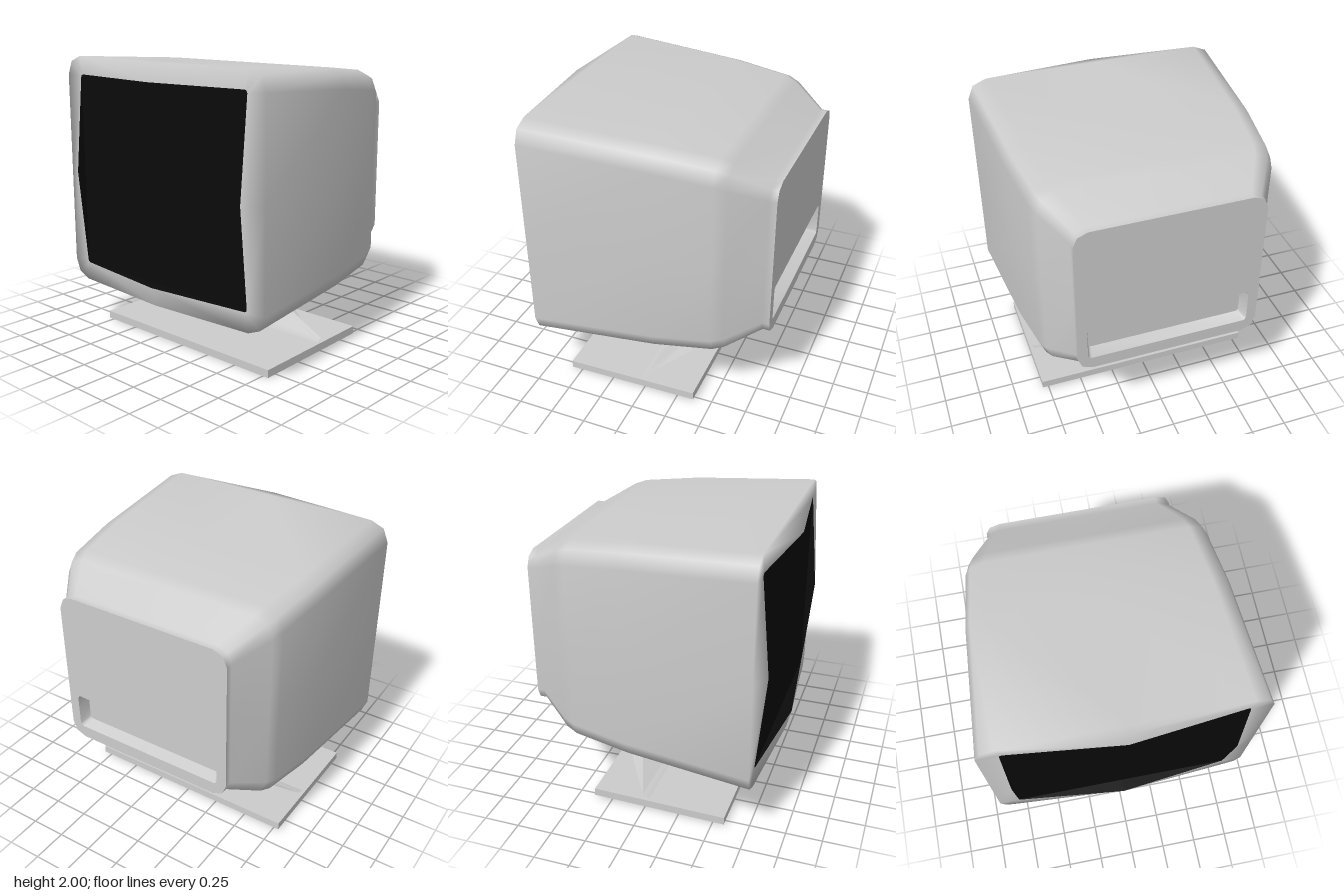
import * as THREE from 'three';
import { mergeVertices, toCreasedNormals } from 'three/addons/utils/BufferGeometryUtils.js';

const casing = new THREE.MeshStandardMaterial({ color: 0xcccccc, side: THREE.DoubleSide });
casing.name = 'light grey plastic';
const glass = new THREE.MeshStandardMaterial({ color: 0x0a0a0a, side: THREE.DoubleSide });
glass.name = 'black glass';

// Rounded rectangle loop at depth z, with side midpoints that may bow forward
function ring(z, hw, y0, y1, r, bowTop = z, bowSide = z) {
  const pts = [], mid = (y0 + y1) / 2;
  const mids = [[hw, mid, bowSide], [0, y1, bowTop], [-hw, mid, bowSide], [0, y0, bowTop]];
  for (let q = 0; q < 4; q++) {
    pts.push(mids[q]);
    const cx = (q === 0 || q === 3 ? 1 : -1) * (hw - r);
    const cy = q < 2 ? y1 - r : y0 + r;
    for (let k = 0; k < 3; k++) {
      const a = (q + k / 2) * Math.PI / 2;
      pts.push([cx + r * Math.cos(a), cy + r * Math.sin(a), z]);
    }
  }
  return pts;
}

// Skin a list of equal-length loops
function loft(loops, caps = false) {
  const n = loops[0].length, index = [];
  for (let s = 0; s < loops.length - 1; s++) {
    for (let i = 0; i < n; i++) {
      const j = (i + 1) % n, a = s * n, b = a + n;
      index.push(a + i, a + j, b + i, a + j, b + j, b + i);
    }
  }
  if (caps) {
    const e = (loops.length - 1) * n;
    for (let i = 1; i < n - 1; i++) index.push(0, i + 1, i, e, e + i, e + i + 1);
  }
  const g = new THREE.BufferGeometry();
  g.setAttribute('position', new THREE.Float32BufferAttribute(loops.flat(2), 3));
  g.setIndex(index);
  const merged = mergeVertices(g, 1e-4);
  merged.computeVertexNormals();
  return merged;
}

// Flat panel filling a loop, with an optional opening
function panel(loop, hole, z, facesBack) {
  const to2 = l => l.map(p => new THREE.Vector2(p[0], p[1]));
  const shape = new THREE.Shape(to2(loop));
  if (hole) shape.holes.push(new THREE.Path(to2(hole)));
  const g = new THREE.ShapeGeometry(shape);
  if (facesBack) g.rotateY(Math.PI);
  return g.translate(0, 0, z);
}

export function createModel() {
  const model = new THREE.Group();
  model.name = 'monitor';
  const add = (name, geo, mat = casing) => {
    const m = new THREE.Mesh(geo, mat);
    m.name = name;
    model.add(m);
  };

  // Tapered housing that rolls over into the bowed bezel
  const backRing = ring(-0.85, 0.64, 0.62, 1.75, 0.1);
  const inner = ring(0.772, 0.78, 0.497, 1.873, 0.02, 0.855, 0.834);
  add('housingAndBezel', loft([
    backRing,
    ring(-0.8, 0.64, 0.62, 1.75, 0.1),
    ring(-0.58, 0.787, 0.495, 1.88, 0.13),
    ring(-0.5, 0.815, 0.468, 1.908, 0.135),
    ring(-0.1, 0.866, 0.425, 1.95, 0.135),
    ring(0.77, 0.925, 0.365, 2.0, 0.135),
    ring(0.77, 0.925, 0.365, 2.0, 0.135, 0.824, 0.77),
    inner,
  ]));

  // Back panel with a recessed slot
  const slotRim = ring(-0.85, 0.57, 0.71, 0.97, 0.025);
  const slotFloor = ring(-0.77, 0.545, 0.735, 0.945, 0.02);
  add('backPanel', panel(backRing, slotRim, -0.85, true));
  add('slotWalls', toCreasedNormals(loft([slotFloor, slotRim]), 0.9));
  add('slotFloor', panel(slotFloor, null, -0.77, true));

  // Flat glass and the dark lip joining it to the bezel
  const screenRing = ring(0.768, 0.78, 0.497, 1.873, 0.02);
  add('screen', panel(screenRing, null, 0.768, false), glass);
  add('screenLip', loft([inner, screenRing]), glass);

  // Curved neck, as [outer z, outer y, inner z, inner y, half width], fanning into a foot
  const neck = [
    [-0.1, 0.43, -0.1, 0.345, 0.24],
    [-0.19, 0.425, -0.19, 0.355, 0.24],
    [-0.34, 0.395, -0.335, 0.33, 0.24],
    [-0.405, 0.37, -0.38, 0.305, 0.24],
    [-0.455, 0.265, -0.39, 0.25, 0.24],
    [-0.405, 0.165, -0.335, 0.195, 0.24],
    [-0.335, 0.135, -0.215, 0.185, 0.24],
    [0.03, 0.068, -0.02, 0.085, 0.77],
  ].map(([oz, oy, iz, iy, w]) => [[w, oy, oz], [w, iy, iz], [-w, iy, iz], [-w, oy, oz]]);
  add('neck', toCreasedNormals(loft(neck, true), 0.9));

  // Slightly tilted base plate
  const base = new THREE.BoxGeometry(1.59, 0.055, 0.955);
  base.rotateX(0.021).translate(0, 0.038, 0.1025);
  add('basePlate', base);

  return model;
}
